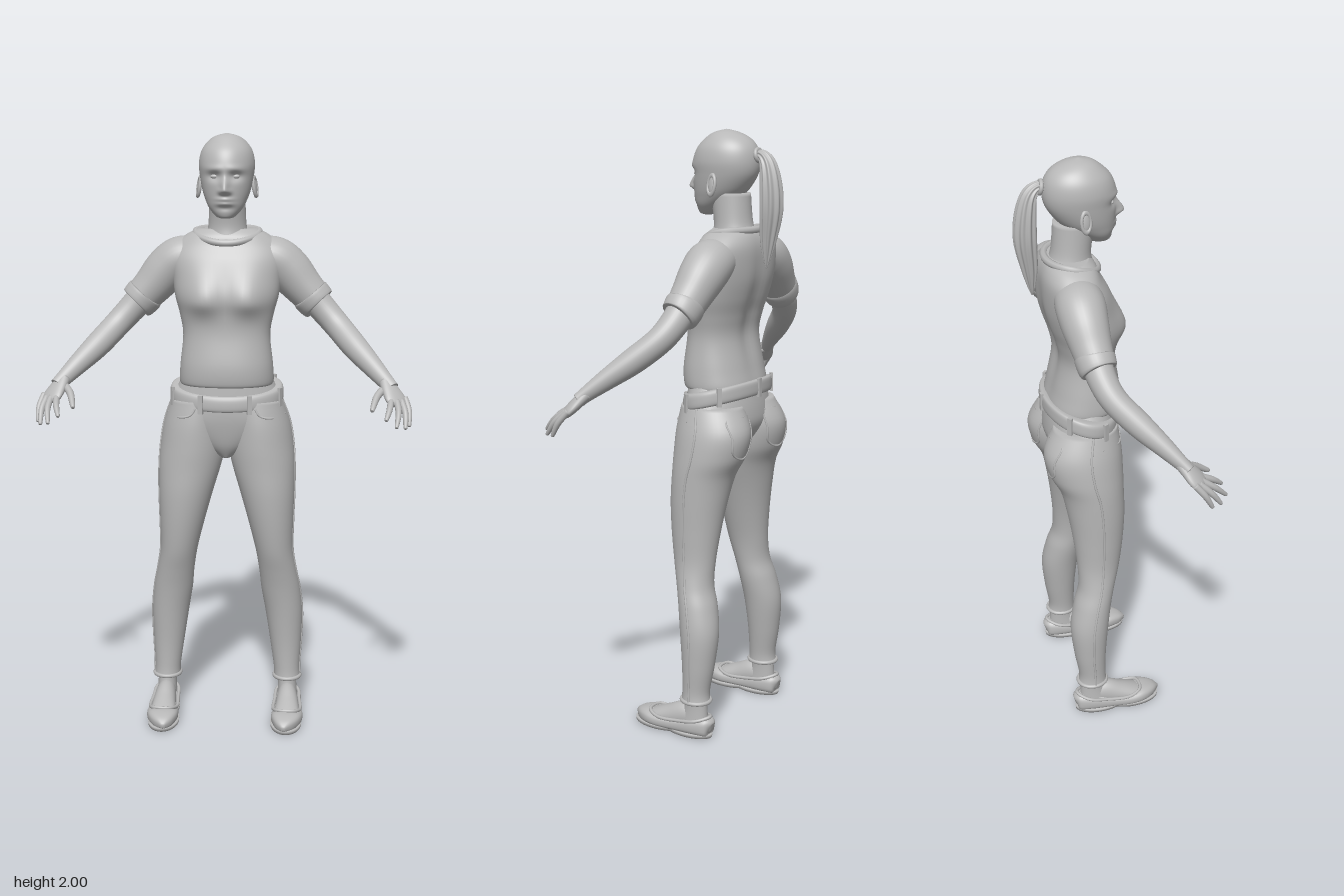
import * as THREE from 'three';

const V = (x, y, z) => new THREE.Vector3(x, y, z);
const grey = new THREE.MeshStandardMaterial({ color: 0xb8b8b8 });
grey.name = 'plain grey';

function add(group, name, geometry) {
  const mesh = new THREE.Mesh(geometry, grey);
  mesh.name = name;
  group.add(mesh);
  return mesh;
}

// Smooth interpolation of one row out of a list of number rows
function sample(rows, t) {
  const i = Math.min(Math.floor(t), rows.length - 2), f = t - i;
  const at = k => rows[Math.max(0, Math.min(rows.length - 1, k))];
  const [p, q, r, s] = [at(i - 1), at(i), at(i + 1), at(i + 2)];
  return q.map((_, k) => q[k] + 0.5 * f * (r[k] - p[k] + f * (2 * p[k] - 5 * q[k] + 4 * r[k] - s[k]
    + f * (3 * (q[k] - r[k]) + s[k] - p[k]))));
}

// Closed skin over rows [x, y, z, a, b]; a runs along "side", b across it.
// "axis" fixes the ring plane, otherwise rings follow the path.
function loft(rows, { n = 32, m = 6, side = V(1, 0, 0), axis, e = 1, ripple = 0, move } = {}) {
  const pos = [], idx = [], count = (rows.length - 1) * m;
  const rings = Array.from({ length: count + 1 }, (_, i) => sample(rows, i / m));
  const centre = r => V(r[0], r[1], r[2]);
  const pw = c => Math.sign(c) * Math.abs(c) ** e;
  rings.forEach((r, i) => {
    const T = axis ?? centre(rings[Math.min(i + 1, count)]).sub(centre(rings[Math.max(i - 1, 0)])).normalize();
    const S = side.clone().addScaledVector(T, -side.dot(T)).normalize(), U = T.clone().cross(S);
    for (let j = 0; j < n; j++) {
      const a = j / n * Math.PI * 2, k = 1 + ripple * Math.sin(a * 9);
      const p = centre(r).addScaledVector(S, r[3] * k * pw(Math.cos(a))).addScaledVector(U, r[4] * k * pw(Math.sin(a)));
      if (move) move(p);
      pos.push(p.x, p.y, p.z);
      if (i < count) {
        const A = i * n + j, B = i * n + (j + 1) % n;
        idx.push(A, B, A + n, B, B + n, A + n);
      }
    }
  });
  [0, count].forEach(i => {
    const c = centre(rings[i]), k = pos.length / 3;
    if (move) move(c);
    pos.push(c.x, c.y, c.z);
    for (let j = 0; j < n; j++) {
      const A = i * n + j, B = i * n + (j + 1) % n;
      idx.push(...(i ? [k, A, B] : [k, B, A]));
    }
  });
  const g = new THREE.BufferGeometry();
  g.setAttribute('position', new THREE.Float32BufferAttribute(pos, 3));
  g.setIndex(idx);
  g.computeVertexNormals();
  return g;
}

// Horizontal rows [y, halfWidth, zFront, zBack], listed upwards
const body = (rows, opt = {}) => loft(rows.map(([y, w, f, b]) => [0, y, (f + b) / 2, w, (f - b) / 2]),
  { axis: V(0, 1, 0), n: 64, ...opt });
const tube = (pts, r, closed = false) =>
  new THREE.TubeGeometry(new THREE.CatmullRomCurve3(pts, closed), pts.length * 6, r, 8, closed);
const bell = (d, s) => Math.exp(-(d * d) / (2 * s * s));

// Trouser leg rows: y, inner x, outer x, zFront, zBack
const LEG = [[1.12, 0, 0.187, 0.04, -0.17], [1.04, 0, 0.215, 0.05, -0.208], [0.96, 0.004, 0.228, 0.053, -0.195],
  [0.89, 0.02, 0.232, 0.053, -0.16], [0.8, 0.047, 0.232, 0.053, -0.14], [0.7, 0.075, 0.229, 0.045, -0.125],
  [0.6, 0.1, 0.228, 0.03, -0.115], [0.52, 0.113, 0.24, 0.01, -0.115], [0.45, 0.12, 0.254, -0.005, -0.135],
  [0.36, 0.135, 0.263, -0.018, -0.15], [0.25, 0.152, 0.26, -0.028, -0.14], [0.16, 0.165, 0.255, -0.03, -0.125],
  [0.12, 0.166, 0.258, -0.027, -0.128]];

// Point on the leg surface; facing = 1 front, -1 back
function onLeg(x, y, facing) {
  const i = Math.max(0, Math.min(LEG.length - 2, LEG.findIndex(r => r[0] < y) - 1));
  const r = sample(LEG, i + (LEG[i][0] - y) / (LEG[i][0] - LEG[i + 1][0]));
  const u = (x - (r[1] + r[2]) / 2) / ((r[2] - r[1]) / 2);
  return V(x, y, (r[3] + r[4]) / 2 + facing * (r[3] - r[4]) / 2 * Math.sqrt(Math.max(0, 1 - u * u)));
}

function buildHead(g) {
  const face = p => {
    if (p.z < 0) return;
    const ax = Math.abs(p.x), y = p.y;
    p.z += 0.03 * bell(p.x, 0.009) * bell(y - 1.818, y > 1.818 ? 0.024 : 0.009)
      + 0.007 * bell(ax - 0.014, 0.007) * bell(y - 1.814, 0.007)
      - 0.012 * bell(ax - 0.034, 0.017) * bell(y - 1.862, 0.011)
      + 0.005 * bell(ax - 0.034, 0.022) * bell(y - 1.885, 0.008)
      + 0.008 * bell(p.x, 0.018) * (bell(y - 1.789, 0.005) + bell(y - 1.775, 0.005))
      - 0.004 * bell(p.x, 0.02) * bell(y - 1.76, 0.006);
  };
  add(g, 'head', body([[1.727, 0.012, 0.03, 0], [1.734, 0.032, 0.042, -0.03], [1.76, 0.055, 0.05, -0.065],
    [1.79, 0.07, 0.055, -0.11], [1.82, 0.08, 0.057, -0.14], [1.86, 0.088, 0.058, -0.165], [1.9, 0.092, 0.058, -0.172],
    [1.94, 0.085, 0.043, -0.164], [1.97, 0.066, 0.015, -0.14], [1.99, 0.039, -0.015, -0.1],
    [2, 0.002, -0.055, -0.06]], { n: 112, m: 10, move: face }));
  add(g, 'neck', body([[1.6, 0.085, 0, -0.18], [1.66, 0.072, -0.015, -0.163], [1.71, 0.063, -0.02, -0.147],
    [1.8, 0.06, -0.005, -0.14]]));
  for (const s of [1, -1]) {
    add(g, 'eye', new THREE.SphereGeometry(0.012, 20, 12).scale(1.15, 0.6, 0.6)).position.set(s * 0.034, 1.862, 0.036);
    // Ear: rim with a shallow bowl
    const ear = new THREE.Group();
    ear.name = 'ear';
    add(ear, 'ear rim', new THREE.TorusGeometry(0.02, 0.006, 8, 24).scale(0.8, 1.5, 1));
    add(ear, 'ear bowl', new THREE.SphereGeometry(0.018, 16, 10).scale(0.8, 1.5, 0.3));
    ear.position.set(s * 0.092, 1.828, -0.06);
    ear.rotation.set(-0.15, s * 1.3, 0, 'YXZ');
    g.add(ear);
  }
  // Ponytail with strand ridges and a hair band
  add(g, 'ponytail', loft([[0, 1.91, -0.15, 0.016, 0.016], [0, 1.922, -0.185, 0.018, 0.016], [0, 1.895, -0.212, 0.028, 0.024],
    [0, 1.83, -0.225, 0.037, 0.032], [0, 1.75, -0.227, 0.038, 0.034], [0, 1.66, -0.217, 0.026, 0.025],
    [0, 1.6, -0.212, 0.013, 0.013], [0, 1.565, -0.21, 0.002, 0.002]], { n: 72, ripple: 0.1 }));
  const band = add(g, 'hairBand', new THREE.TorusGeometry(0.019, 0.007, 10, 24));
  band.position.set(0, 1.92, -0.178);
  band.rotation.x = 0.2;
}

function buildShirt(g) {
  const bust = p => {
    if (p.z > -0.05) p.z += 0.028 * bell(Math.abs(p.x) - 0.075, 0.042) * bell(p.y - 1.455, p.y > 1.455 ? 0.06 : 0.032);
    else p.z += 0.012 * bell(p.x, 0.025) * bell(p.y - 1.42, 0.13);
  };
  add(g, 'shirt', body([[1.172, 0.145, 0.045, -0.155], [1.18, 0.158, 0.06, -0.172], [1.24, 0.156, 0.064, -0.16],
    [1.34, 0.146, 0.05, -0.142], [1.41, 0.157, 0.05, -0.153], [1.47, 0.173, 0.054, -0.172], [1.53, 0.182, 0.042, -0.186],
    [1.59, 0.19, 0.022, -0.19], [1.635, 0.178, -0.002, -0.188], [1.668, 0.14, -0.015, -0.178],
    [1.69, 0.098, -0.035, -0.162]], { e: 0.88, move: bust }));
  // Neckline, dipping at the front
  const ring = Array.from({ length: 24 }, (_, i) => {
    const a = i / 24 * Math.PI * 2, s = Math.sin(a);
    return V(0.106 * Math.cos(a), 1.678 - 0.02 * s - 0.012 * s * s, -0.085 + 0.082 * s);
  });
  add(g, 'collar', tube(ring, 0.012, true));
}

function buildArm(g, s) {
  const side = V(0, 0, 1);
  const arm = rows => rows.map(([x, ...rest]) => [s * x, ...rest]);
  add(g, 'sleeve', loft(arm([[0.09, 1.605, -0.095, 0.07, 0.06], [0.155, 1.588, -0.098, 0.078, 0.076],
    [0.205, 1.55, -0.098, 0.074, 0.076], [0.255, 1.495, -0.092, 0.064, 0.066], [0.305, 1.442, -0.085, 0.055, 0.058]]), { side }));
  add(g, 'sleeveHem', loft(arm([[0.275, 1.474, -0.088, 0.058, 0.06], [0.28, 1.468, -0.088, 0.063, 0.066],
    [0.303, 1.443, -0.085, 0.06, 0.063], [0.308, 1.438, -0.084, 0.054, 0.057]]), { side, m: 3 }));
  add(g, 'arm', loft(arm([[0.28, 1.468, -0.088, 0.048, 0.05], [0.33, 1.414, -0.077, 0.045, 0.046],
    [0.375, 1.365, -0.052, 0.042, 0.044], [0.43, 1.306, 0.006, 0.04, 0.042], [0.485, 1.252, 0.065, 0.031, 0.034],
    [0.53, 1.207, 0.112, 0.022, 0.026], [0.545, 1.19, 0.128, 0.02, 0.025]]), { side }));
  // Palm spans from the little finger to the index finger
  add(g, 'palm', loft(arm([[0.526, 1.212, 0.108, 0.024, 0.02], [0.541, 1.187, 0.13, 0.033, 0.019],
    [0.556, 1.163, 0.15, 0.04, 0.017], [0.563, 1.148, 0.165, 0.036, 0.013], [0.566, 1.142, 0.171, 0.022, 0.006]]),
  { side: V(-0.8 * s, 0.05, 0.6) }));
  const fingers = {
    littleFinger: [[0.588, 1.162, 0.135], [0.6, 1.125, 0.165], [0.601, 1.08, 0.19]],
    ringFinger: [[0.575, 1.157, 0.152], [0.587, 1.122, 0.19], [0.587, 1.078, 0.223]],
    middleFinger: [[0.56, 1.157, 0.164], [0.565, 1.127, 0.207], [0.557, 1.086, 0.25]],
    indexFinger: [[0.542, 1.16, 0.168], [0.536, 1.137, 0.21], [0.524, 1.108, 0.246]],
    thumb: [[0.524, 1.192, 0.122], [0.497, 1.17, 0.165], [0.48, 1.133, 0.218]],
  };
  for (const [name, [a, b, c]] of Object.entries(fingers)) {
    const r = name === 'thumb' ? 0.0125 : 0.0105;
    const tip = c.map((v, k) => v * 0.93 + b[k] * 0.07);
    add(g, name, loft(arm([[...a, r, r], [...b, r * 0.95, r * 0.95], [...tip, r * 0.6, r * 0.6], [...c, 0.001, 0.001]]),
      { n: 12, side: V(-0.8 * s, 0.05, 0.6) }));
  }
}

function buildTrousers(g) {
  add(g, 'hips', body([[0.925, 0.02, 0.005, -0.08], [0.97, 0.1, 0.03, -0.13], [1.04, 0.2, 0.046, -0.175],
    [1.1, 0.193, 0.05, -0.178], [1.19, 0.155, 0.045, -0.16]]));
  // Belt tilts down towards the front
  const tilt = p => { p.y -= (p.z + 0.065) * 0.25; };
  add(g, 'belt', body([[1.118, 0.176, 0.04, -0.17], [1.122, 0.19, 0.057, -0.186], [1.145, 0.192, 0.06, -0.188],
    [1.168, 0.187, 0.055, -0.184], [1.172, 0.165, 0.035, -0.165]], { move: tilt, m: 4 }));
  for (const deg of [65, 115, 20, 160, 215, 270, 325]) {
    const a = deg * Math.PI / 180;
    const p = V(0.193 * Math.cos(a), 1.143, -0.064 + 0.124 * Math.sin(a));
    tilt(p);
    const loop = add(g, 'beltLoop', new THREE.BoxGeometry(0.016, 0.062, 0.01));
    loop.position.copy(p);
    loop.rotation.y = Math.atan2(Math.cos(a) / 0.193, Math.sin(a) / 0.124);
  }
}

function buildLeg(g, s) {
  add(g, 'trouserLeg', loft(LEG.map(([y, i, o, f, b]) => [s * (i + o) / 2, y, (f + b) / 2, (o - i) / 2, (f - b) / 2]),
    { axis: V(0, -1, 0), n: 48 }));
  const stitch = (name, pts, facing, closed) =>
    add(g, name, tube(pts.map(([x, y]) => { const p = onLeg(x, y, facing); p.x *= s; return p; }), 0.0035, closed));
  stitch('frontPocket', [[0.1, 1.1], [0.115, 1.078], [0.15, 1.068], [0.198, 1.075]], 1);
  stitch('backPocket', [[0.05, 1.085], [0.1, 1.09], [0.16, 1.085], [0.165, 1.03], [0.16, 0.98], [0.11, 0.955],
    [0.06, 0.98], [0.05, 1.03]], -1, true);
  add(g, 'sideSeam', tube(LEG.map(([y, , o, f, b]) => V(s * o, y, (f + b) / 2)), 0.004));
  const hem = add(g, 'trouserHem', new THREE.TorusGeometry(0.045, 0.007, 8, 32).rotateX(Math.PI / 2).scale(1, 1, 1.1));
  hem.position.set(s * 0.212, 0.124, -0.078);
  // Bare ankle and instep
  add(g, 'ankle', loft([[s * 0.212, 0.16, -0.08, 0.034, 0.038], [s * 0.213, 0.1, -0.078, 0.032, 0.042],
    [s * 0.214, 0.04, -0.07, 0.036, 0.055]], { axis: V(0, -1, 0) }));
  add(g, 'instep', loft([[s * 0.213, 0.06, -0.1, 0.025, 0.03], [s * 0.214, 0.06, -0.04, 0.034, 0.046],
    [s * 0.215, 0.046, 0.02, 0.04, 0.038], [s * 0.214, 0.034, 0.08, 0.043, 0.025], [s * 0.212, 0.03, 0.11, 0.03, 0.015]]));
  // Flat slip-on shoe with its opening rim and sole
  add(g, 'shoe', loft([[s * 0.213, 0.035, -0.143, 0.008, 0.015], [s * 0.213, 0.037, -0.13, 0.033, 0.033],
    [s * 0.214, 0.034, -0.08, 0.043, 0.032], [s * 0.216, 0.028, -0.01, 0.046, 0.026], [s * 0.216, 0.027, 0.06, 0.054, 0.025],
    [s * 0.212, 0.029, 0.105, 0.05, 0.027], [s * 0.207, 0.024, 0.145, 0.031, 0.022], [s * 0.205, 0.02, 0.17, 0.006, 0.008]],
  { e: 0.75, move: p => { p.y = Math.max(p.y, 0.002); } }));
  const rim = [[0, 0.074, -0.136], [0.036, 0.062, -0.1], [0.043, 0.05, -0.03], [0.046, 0.046, 0.05], [0.03, 0.056, 0.09]];
  const back = rim.slice(1).reverse().map(([x, y, z]) => [-x, y, z]);
  add(g, 'shoeRim', tube([...rim, [0, 0.058, 0.098], ...back].map(([x, y, z]) => V(s * 0.214 + x, y, z)), 0.006, true));
  add(g, 'sole', loft([[s * 0.214, 0, -0.05, 0.046, 0.09], [s * 0.214, 0.012, -0.05, 0.047, 0.091]], { axis: V(0, 1, 0), m: 1 }));
  add(g, 'frontSole', loft([[s * 0.212, 0, 0.07, 0.053, 0.097], [s * 0.212, 0.012, 0.07, 0.054, 0.098]], { axis: V(0, 1, 0), m: 1 }));
}

export function createModel() {
  const model = new THREE.Group();
  model.name = 'standingWoman';
  const part = (name, build, s) => {
    const g = new THREE.Group();
    g.name = name;
    build(g, s);
    model.add(g);
  };
  part('headAndHair', buildHead);
  part('shirtBody', buildShirt);
  part('trousers', buildTrousers);
  part('leftArm', buildArm, 1);
  part('rightArm', buildArm, -1);
  part('leftLeg', buildLeg, 1);
  part('rightLeg', buildLeg, -1);
  return model;
}
